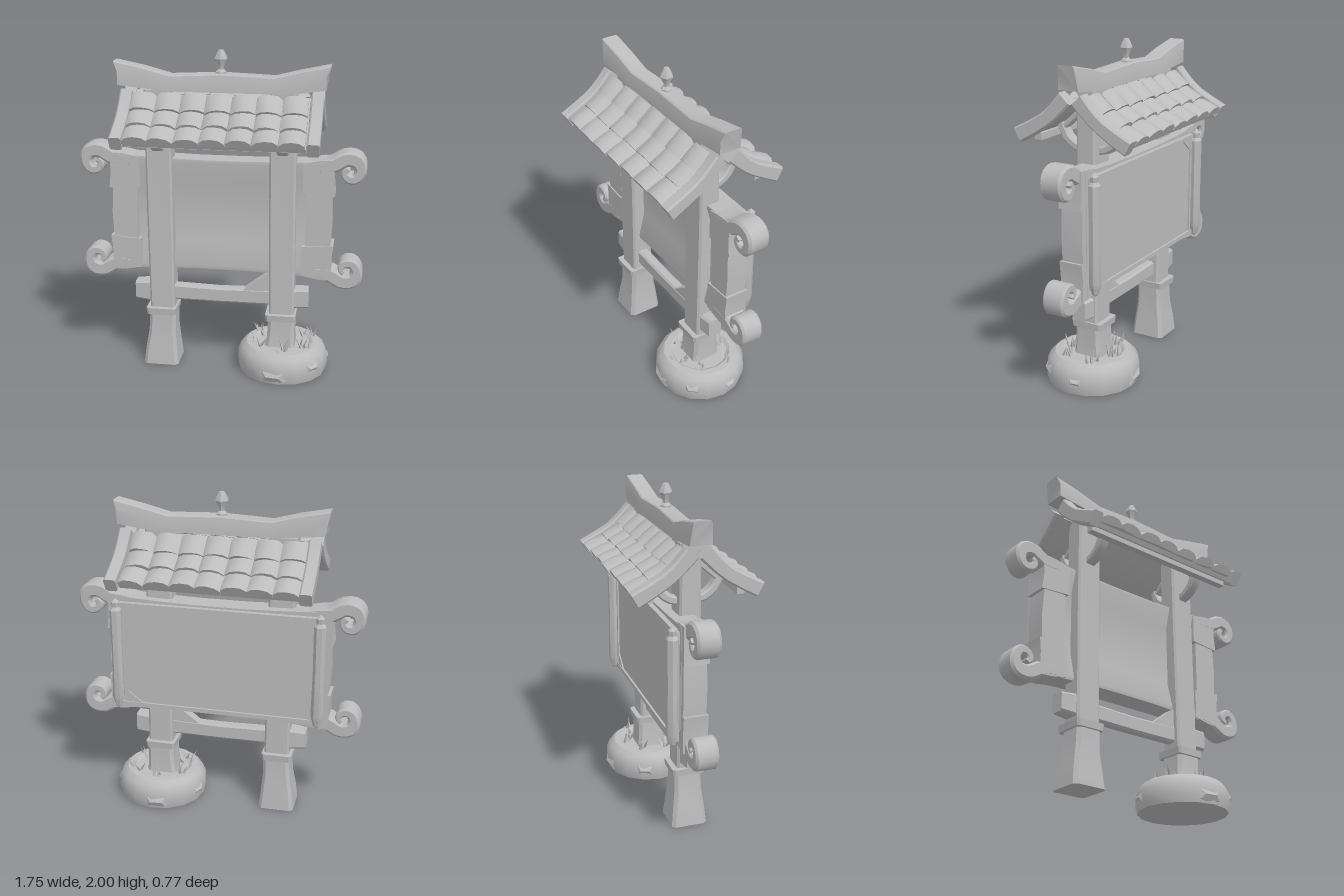
import * as THREE from 'three';
import { toCreasedNormals } from 'three/addons/utils/BufferGeometryUtils.js';

const stone = new THREE.MeshStandardMaterial({ color: 0xbcbcbc });
stone.name = 'plain grey';

let seed = 7;
const rand = () => (seed = (seed * 16807) % 2147483647) / 2147483647;
const jitter = (a) => (rand() - 0.5) * 2 * a;
const V = (x, y, z) => new THREE.Vector3(x, y, z);

function add(parent, name, geo, crease = 0.5) {
  const mesh = new THREE.Mesh(toCreasedNormals(geo, crease), stone);
  mesh.name = name;
  parent.add(mesh);
  return mesh;
}

// Closed skin over rings of equal point count; faces are turned outward by volume sign
function loft(rings) {
  const n = rings[0].length, last = (rings.length - 1) * n, tris = [];
  for (let r = 0; r < rings.length - 1; r++) {
    for (let i = 0; i < n; i++) {
      const a = r * n + i, b = r * n + (i + 1) % n;
      tris.push([a, b, b + n], [a, b + n, a + n]);
    }
  }
  for (let i = 1; i < n - 1; i++) tris.push([0, i + 1, i], [last, last + i, last + i + 1]);
  const pts = rings.flat(), cross = V(0, 0, 0);
  let volume = 0;
  for (const [a, b, c] of tris) volume += pts[a].dot(cross.crossVectors(pts[b], pts[c]));
  const geo = new THREE.BufferGeometry().setFromPoints(pts);
  geo.setIndex(tris.flatMap(([a, b, c]) => (volume < 0 ? [a, c, b] : [a, b, c])));
  return geo;
}

// Outline of a rectangle with cut corners
function cutRect(hu, hv, c) {
  return [[hu, -hv + c], [hu, hv - c], [hu - c, hv], [-hu + c, hv],
    [-hu, hv - c], [-hu, -hv + c], [-hu + c, -hv], [hu - c, -hv]];
}

// Upright timber from [y, centreX, halfX, halfZ] stations
const timber = (stations, c = 0.012) => loft(stations.map(([y, cx, hx, hz]) =>
  cutRect(hx, hz, c).map(([u, v]) => V(cx + u, y, v))));

// Flat polygon given depth d0..d1, placed by map(u, v, d)
const prism = (poly, d0, d1, map) => loft([d0, d1].map((d) => poly.map(([u, v]) => map(u, v, d))));

// Bar swept along a planar curve of [u, v, halfThickness] points
function ribbon(path, halfDepth, steps, map, c = 0.01) {
  const curve = new THREE.CatmullRomCurve3(path.map((p) => V(...p)));
  const rings = [];
  for (let i = 0; i <= steps; i++) {
    const p = curve.getPoint(i / steps), t = curve.getTangent(i / steps);
    const len = Math.hypot(t.x, t.y), nx = -t.y / len, ny = t.x / len;
    rings.push(cutRect(p.z, halfDepth, Math.min(c, p.z * 0.4))
      .map(([h, d]) => map(p.x + nx * h, p.y + ny * h, d)));
  }
  return loft(rings);
}

function buildPosts(g) {
  for (const [side, x] of [['right', -0.372], ['left', 0.38]]) {
    add(g, side + 'Post', timber([[0.36, x + 0.008, 0.077, 0.07], [1.0, x, 0.08, 0.066], [1.76, x - 0.006, 0.08, 0.062]]));
    add(g, side + 'Foot', timber([[0, x, 0.11, 0.11], [0.1, x, 0.1, 0.1], [0.22, x + 0.005, 0.085, 0.085], [0.35, x + 0.01, 0.082, 0.082]], 0.02));
    add(g, side + 'Collar', timber([[0.338, x + 0.003, 0.09, 0.098], [0.38, x + 0.003, 0.094, 0.102]]));
    // Curved braces under the eaves
    for (const s of [1, -1]) {
      add(g, side + 'EaveBrace', ribbon([[0.02, 1.41, 0.024], [0.1, 1.425, 0.024], [0.16, 1.47, 0.024], [0.2, 1.55, 0.024]],
        0.034, 6, (u, v, d) => V(x + d, v, s * u)));
      add(g, side + 'UpperStrut', ribbon([[0.03, 1.66, 0.016], [0.1, 1.6, 0.016], [0.19, 1.52, 0.016]],
        0.03, 2, (u, v, d) => V(x + d, v, s * u)));
    }
  }
  // Low tie beam with its end blocks and corner brace
  const bar = (stations) => loft(stations.map(([x, y, hy, hz]) => cutRect(hy, hz, 0.012).map(([u, v]) => V(x, y + u, v))));
  add(g, 'tieBeam', bar([[-0.46, 0.475, 0.052, 0.036], [0, 0.467, 0.048, 0.034], [0.46, 0.475, 0.052, 0.036]]));
  add(g, 'tieEndRight', bar([[-0.54, 0.476, 0.058, 0.045], [-0.44, 0.476, 0.066, 0.055]]));
  add(g, 'tieEndLeft', bar([[0.44, 0.475, 0.062, 0.055], [0.55, 0.48, 0.062, 0.045]]));
  add(g, 'tieBrace', prism([[0.13, 0.5], [0.32, 0.5], [0.32, 0.64], [0.29, 0.625]], -0.032, 0.032, V));
}

function buildBoard(g) {
  const cy = 0.985, cz = -0.038;
  // Dished panel, slightly taller at the ends
  const profile = [[-0.12, -1], [0.02, -1], [0.025, -0.93], [-0.012, -0.5], [-0.012, 0.6], [0.022, 0.95], [0.02, 1], [-0.12, 1]];
  add(g, 'boardPanel', loft([-0.64, -0.4, -0.15, 0.15, 0.4, 0.64].map((x) =>
    profile.map(([z, f]) => V(x, cy + f * (0.348 + 0.05 * x * x), z)))));
  const curl = [[0.56, 1.318, 0.035], [0.67, 1.33, 0.045], [0.755, 1.374, 0.045], [0.82, 1.358, 0.044], [0.838, 1.3, 0.034],
    [0.808, 1.252, 0.03], [0.762, 1.255, 0.026], [0.742, 1.29, 0.02], [0.762, 1.315, 0.016]];
  const corner = [[0.5, 1.34], [0.6, 1.36], [0.685, 1.365], [0.682, 1.23], [0.692, 1.14], [0.5, 1.155]];
  for (const sx of [1, -1]) {
    for (const sy of [1, -1]) {
      const map = (u, v, d) => V(sx * u, cy + sy * (v - cy), cz + d);
      add(g, 'scrollEnd', ribbon(curl, 0.069, 22, map, 0.014), 0.7);
      add(g, 'cornerBlock', prism(corner, -0.08, 0.068, map));
    }
    add(g, 'sidePlank', prism([[0.52, 0.8], [0.672, 0.81], [0.68, 0.98], [0.67, 1.15], [0.52, 1.15]], -0.078, 0.06,
      (u, v, d) => V(sx * u, v, cz + d)));
    // Roller along each upright edge of the notice sheet
    const rod = new THREE.LatheGeometry([[0, 0.63], [0.02, 0.645], [0.03, 0.68], [0.038, 0.71], [0.034, 1.0], [0.037, 1.28], [0.022, 1.3], [0.026, 1.33], [0, 1.355]]
      .map((p) => new THREE.Vector2(...p)), 7);
    add(g, 'sheetRoller', rod.translate(sx * 0.62, 0, -0.162));
  }
  // Notice sheet on the back, with thin border and corner tabs
  add(g, 'noticeSheet', new THREE.BoxGeometry(1.24, 0.66, 0.03).translate(0, cy, -0.125));
  for (const s of [1, -1]) {
    add(g, 'sheetBorder', new THREE.BoxGeometry(1.2, 0.026, 0.03).translate(0, cy + s * 0.325, -0.138));
    add(g, 'sheetSideBorder', new THREE.BoxGeometry(0.02, 0.64, 0.024).translate(s * 0.575, cy, -0.138));
  }
  for (const [sx, sy] of [[-1, 1], [1, -1]]) {
    add(g, 'sheetCornerTab', prism([[0.58, 0.32], [0.46, 0.32], [0.58, 0.23]], -0.148, -0.138, (u, v, d) => V(sx * u, cy + sy * v, d)));
  }
}

function buildRoof(g) {
  const slope = [[0.04, 1.735, 0.046], [0.1, 1.67, 0.043], [0.185, 1.597, 0.042], [0.36, 1.5, 0.046]];
  const line = new THREE.CatmullRomCurve3(slope.map(([z, y]) => V(0, y, z)));
  for (const s of [1, -1]) {
    const map = (x0) => (u, v, d) => V(x0 + d, v, s * u);
    add(g, 'roofDeck', ribbon([[0.03, 1.71, 0.014], [0.1, 1.645, 0.014], [0.18, 1.575, 0.014], [0.33, 1.49, 0.014]], 0.53, 6, map(0)));
    for (const x of [-0.558, 0.572]) add(g, 'bargeBoard', ribbon(slope, 0.036, 6, map(x)));
    add(g, 'eavePurlin', new THREE.BoxGeometry(1.07, 0.04, 0.045).translate(0, 1.487, s * 0.265));
    // Three overlapping courses of seven rounded tiles
    for (let col = 0; col < 7; col++) {
      for (let row = 0; row < 3; row++) {
        const t0 = row * 0.32 + 0.02, t1 = t0 + 0.33 + jitter(0.012), w = 0.074 + jitter(0.003), x = (col - 3) * 0.15;
        const skew = jitter(0.008);
        const rings = [t0, (t0 + t1) / 2, t1].map((t, k) => {
          const p = line.getPointAt(Math.min(t, 1)), q = line.getTangentAt(Math.min(t, 1));
          const lift = [0.004, 0.012, 0.016][k], bulge = [0.03, 0.036, 0.036][k];
          return [[-1, -0.5], [-1, 0.15], [-0.6, 0.8], [0, 1], [0.6, 0.8], [1, 0.15], [1, -0.5]].map(([u, v]) => {
            const h = lift + v * bulge + u * skew;
            return V(x + u * w, p.y + q.z * h, s * (p.z - q.y * h));
          });
        });
        add(g, 'roofTile', loft(rings), 0.75);
      }
    }
  }
  // Sweeping ridge beam: [x, top, bottom]
  const ridge = [[-0.625, 1.925, 1.785], [-0.46, 1.89, 1.77], [-0.3, 1.847, 1.755], [0, 1.862, 1.755], [0.32, 1.85, 1.755], [0.48, 1.89, 1.765], [0.632, 1.925, 1.785]];
  add(g, 'ridgeBeam', loft(ridge.map(([x, top, bottom]) => {
    const lean = Math.sign(x) * (Math.abs(x) > 0.6 ? 0.012 : 0);
    return [[-0.066, bottom], [0.066, bottom], [0.064, top - 0.06], [0.052, top - 0.006], [0.044, top], [-0.044, top], [-0.052, top - 0.006], [-0.064, top - 0.06]]
      .map(([z, y]) => V(x + lean * (y > top - 0.05 ? 1 : -1), y, z));
  })));
  const finial = [[0, 1.84], [0.034, 1.845], [0.034, 1.87], [0.018, 1.885], [0.02, 1.905], [0.041, 1.945], [0.036, 1.96], [0.016, 1.997], [0, 2]];
  add(g, 'ridgeFinial', new THREE.LatheGeometry(finial.map((p) => new THREE.Vector2(...p)), 6));
}

function buildPlanter(g) {
  const cx = 0.395;
  const profile = [[0, 0], [0.272, 0], [0.284, 0.05], [0.28, 0.11], [0.262, 0.15], [0.23, 0.178], [0.19, 0.18], [0.17, 0.165], [0, 0.165]];
  add(g, 'planterStone', new THREE.LatheGeometry(profile.map((p) => new THREE.Vector2(...p)), 16).translate(cx, 0, 0), 0.6);
  // Boulders set into the rim: angle, height, width
  for (const [angle, y, w] of [[1.7, 0.05, 0.11], [-0.15, 0.08, 0.06], [3.5, 0.07, 0.08], [4.6, 0.05, 0.1], [0.75, 0.09, 0.07]]) {
    const rock = new THREE.DodecahedronGeometry(1).scale(0.045, Math.min(w * 0.6, y), w);
    add(g, 'planterRock', rock.rotateY(-angle).translate(cx + Math.cos(angle) * 0.248, y, Math.sin(angle) * 0.248));
  }
  // Grass tufts around the post foot
  for (const [tx, tz] of [[-0.15, 0.09], [-0.14, -0.09], [0.15, 0.09], [0.15, -0.07], [0.02, 0.16], [0, -0.16]]) {
    for (let i = 0; i < 5; i++) {
      const h = 0.06 + rand() * 0.045;
      const blade = new THREE.ConeGeometry(0.012, h, 3).translate(0, h / 2, 0);
      blade.rotateZ(jitter(0.55)).rotateX(jitter(0.5));
      add(g, 'grassBlade', blade.translate(cx + tx + jitter(0.035), 0.16, tz + jitter(0.035)));
    }
  }
}

export function createModel() {
  const model = new THREE.Group();
  model.name = 'noticeBoard';
  for (const [name, build] of [['posts', buildPosts], ['board', buildBoard], ['roof', buildRoof], ['planter', buildPlanter]]) {
    const group = new THREE.Group();
    group.name = name;
    build(group);
    model.add(group);
  }
  return model;
}
